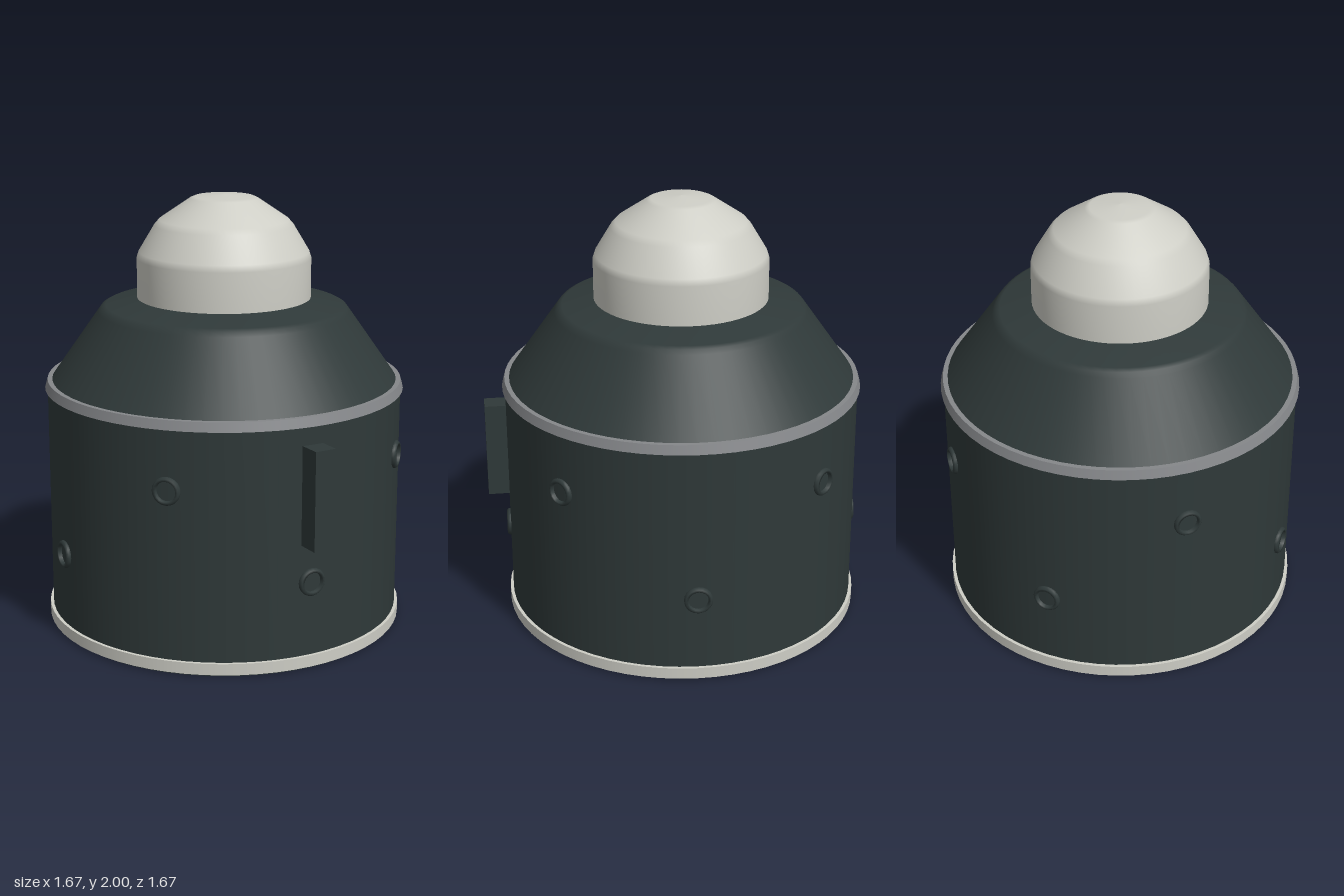
import * as THREE from 'three';
import { ConvexGeometry } from 'three/addons/geometries/ConvexGeometry.js';

const mat = (name, color, extra = {}) => new THREE.MeshStandardMaterial({ name, color, ...extra });

export function createModel() {
  const group = new THREE.Group();
  const dark = mat('darkMetal', 0x2f3939, { side: THREE.DoubleSide });
  const pale = mat('paleGrey', 0xcdcdc5, { side: THREE.DoubleSide });
  const grey = mat('midGrey', 0x85878a);
  const stone = mat('beigeStone', 0xb5a98f, { flatShading: true });

  const add = (name, geometry, material) => {
    const mesh = new THREE.Mesh(geometry, material);
    mesh.name = name;
    group.add(mesh);
    return mesh;
  };
  const lathe = (points, segments = 64) =>
    new THREE.LatheGeometry(points.map(([r, y]) => new THREE.Vector2(r, y)), segments);
  // Closed band with hard edges: each side is its own cylinder or flat ring
  const band = (name, inner, bottom, top, y0, y1, material) => {
    const corners = [[inner, y0], [bottom, y0], [top, y1], [inner, y1], [inner, y0]];
    for (let i = 0; i < 4; i++) add(name, lathe([corners[i], corners[i + 1]]), material);
  };

  // Open drum wall, hollow underneath
  add('drumWall', lathe([[0.82, 0], [0.82, 1.13]]), dark);
  band('baseRing', 0.81, 0.835, 0.835, 0.01, 0.063, pale);
  band('upperRing', 0.79, 0.832, 0.82, 1.113, 1.155, grey);

  // Sloping shoulder with a softened upper edge
  add('shoulder', lathe([[0.805, 1.145], [0.58, 1.465], [0.565, 1.485], [0.545, 1.495], [0.39, 1.53]]), dark);

  // Stepped dome with softened creases
  add('dome', lathe([[0.4, 1.52], [0.4, 1.71], [0.39, 1.74], [0.318, 1.86], [0.295, 1.885],
    [0.155, 1.98], [0.135, 1.988], [0, 2]]), pale);

  // Port rings through the wall: two staggered rows of four
  const portProfile = [[0.044, -0.015], [0.057, -0.015], [0.064, -0.007], [0.064, 0.007],
    [0.057, 0.016], [0.046, 0.016], [0.044, -0.015]];
  const portGeometry = lathe(portProfile, 20).rotateX(Math.PI / 2);
  for (const [y, start] of [[0.84, -11.2], [0.405, 34.1]]) {
    for (let i = 0; i < 4; i++) {
      const a = THREE.MathUtils.degToRad(start + i * 90);
      const port = add('portRing', portGeometry, dark);
      port.position.set(0.82 * Math.sin(a), y, 0.82 * Math.cos(a));
      port.rotation.y = a;
    }
  }

  // Upright box on the front left of the wall
  const box = add('wallBox', new THREE.BoxGeometry(0.1, 0.45, 0.11), dark);
  box.position.set(0.483, 0.805, 0.715);
  box.rotation.y = 0.64;

  // Faceted boulder inside the drum
  let seed = 7;
  const rand = () => (seed = (seed * 16807) % 2147483647) / 2147483647 - 0.5;
  const points = [];
  for (const [r, y, jitter] of [[0.32, 0.13, 0], [0.41, 0.3, 0.06], [0.42, 0.6, 0.08], [0.28, 0.88, 0.06]]) {
    for (let i = 0; i < 8; i++) {
      const a = (i + rand() * 0.5) * Math.PI / 4;
      const rr = r + rand() * jitter;
      points.push(new THREE.Vector3(rr * Math.sin(a), y + rand() * jitter, rr * Math.cos(a)));
    }
  }
  add('boulder', new ConvexGeometry(points), stone);

  return group;
}
